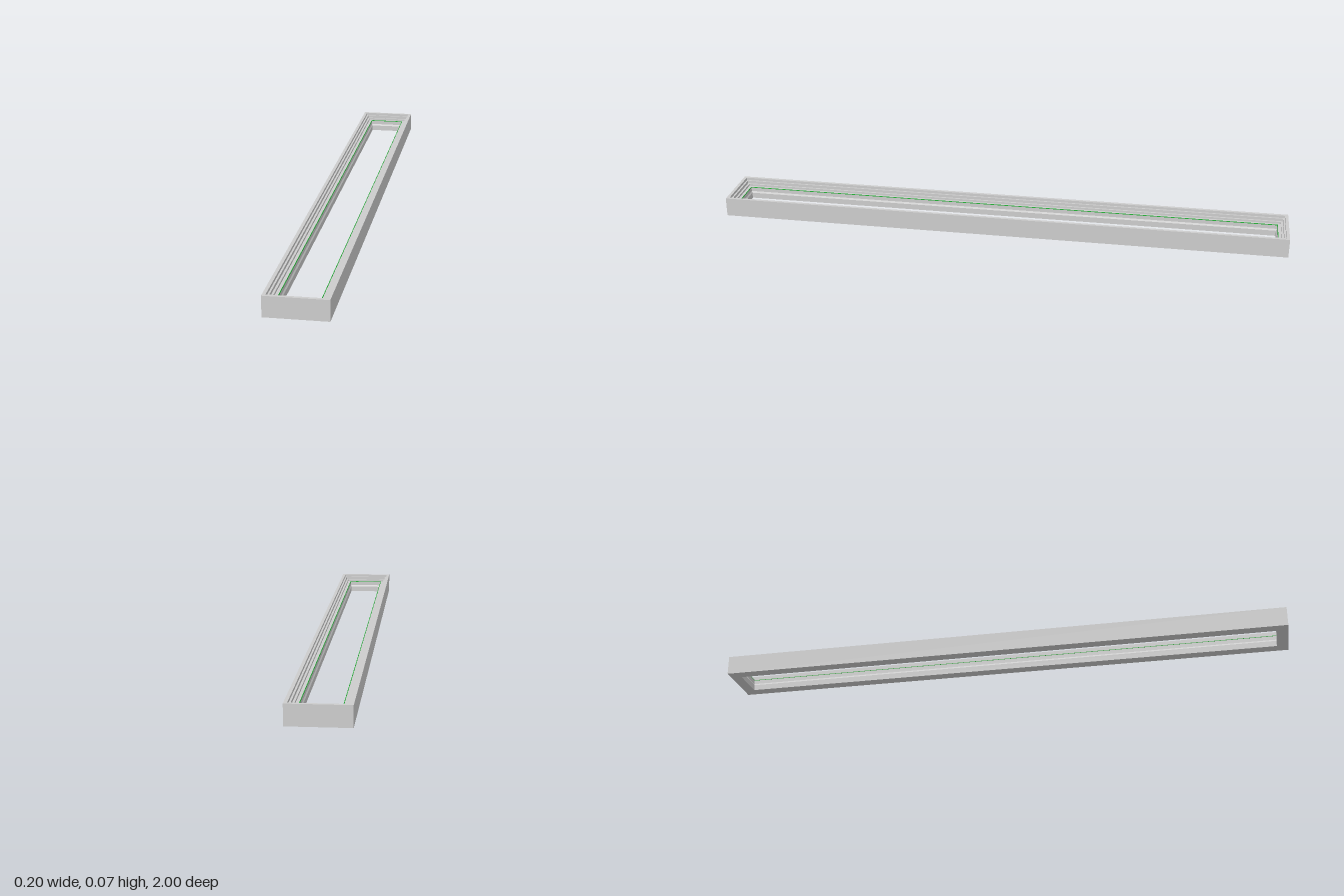
import * as THREE from 'three';

const HALF_X = 0.1, HALF_Z = 1;

// Sweeps a closed profile of [inset, y] points around the rectangle with mitred corners
function rectRing(name, profile, color) {
  const corners = [[1, 1], [1, -1], [-1, -1], [-1, 1]];
  const at = ([inset, y], k) => {
    const [sx, sz] = corners[k % 4];
    return [sx * (HALF_X - inset), y, sz * (HALF_Z - inset)];
  };
  const pos = [];
  profile.forEach((p, i) => {
    const q = profile[(i + 1) % profile.length];
    for (let k = 0; k < 4; k++) {
      const a = at(p, k), b = at(p, k + 1), c = at(q, k + 1), d = at(q, k);
      pos.push(...a, ...b, ...c, ...a, ...c, ...d);
    }
  });
  const geo = new THREE.BufferGeometry();
  geo.setAttribute('position', new THREE.Float32BufferAttribute(pos, 3));
  geo.computeVertexNormals();
  const mesh = new THREE.Mesh(geo, new THREE.MeshStandardMaterial({ color }));
  mesh.name = name;
  return mesh;
}

export function createModel() {
  const group = new THREE.Group();
  group.name = 'longFrame';

  // Outer wall, stepped rim, inner ledge and slightly sloped opening
  group.add(rectRing('frame', [
    [0, 0], [0, 0.067],
    [0.011, 0.067], [0.011, 0.058],
    [0.017, 0.058], [0.017, 0.048],
    [0.024, 0.048], [0.024, 0.041],
    [0.036, 0.041], [0.036, 0.026],
    [0.039, 0.02], [0.039, 0],
  ], 0xcccccc));

  // Thin green line along the inner edge of the ledge
  group.add(rectRing('greenTrim', [
    [0.0345, 0.04], [0.0345, 0.042], [0.0365, 0.042], [0.0365, 0.04],
  ], 0x22aa33));

  return group;
}
